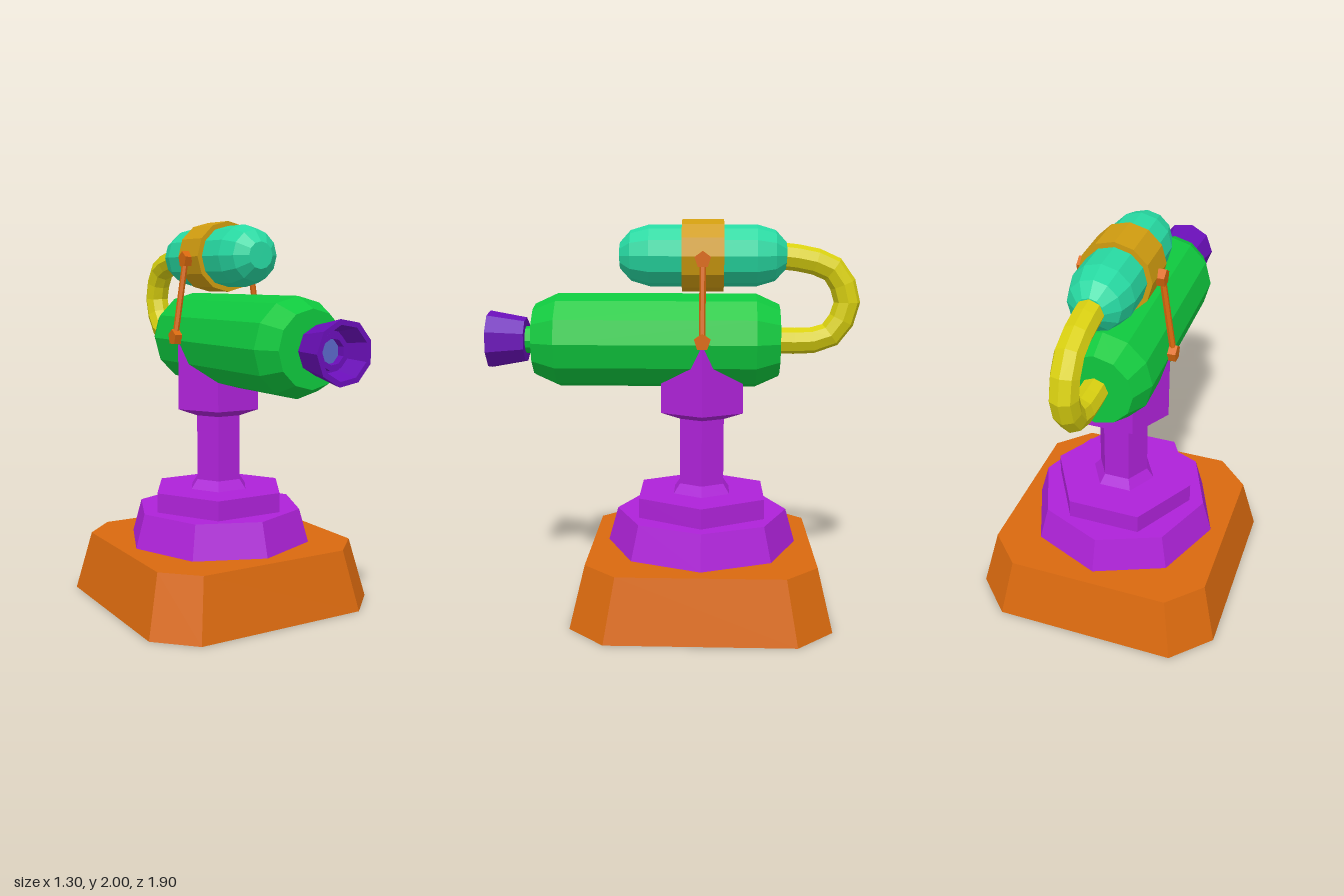
import * as THREE from 'three';

const mat = (name, color) => {
  const m = new THREE.MeshStandardMaterial({ color });
  m.name = name;
  return m;
};

// Faceted normals for the low-poly look
function faceted(geo) {
  const g = geo.index ? geo.toNonIndexed() : geo;
  g.computeVertexNormals();
  return g;
}

// Turned solid around y from [radius, height] pairs
function turned(profile, sides, start = 0) {
  const pts = profile.map(([r, h]) => new THREE.Vector2(r, h));
  return new THREE.LatheGeometry(pts, sides, start);
}

// Same, but lying along z
const turnedZ = (profile, sides, start) => turned(profile, sides, start).rotateX(Math.PI / 2);

export function createModel() {
  const orange = mat('orange', 0xd9690e);
  const purple = mat('purple', 0xae22d8);
  const green = mat('green', 0x0fc83e);
  const teal = mat('teal', 0x27d9a2);
  const gold = mat('gold', 0xd09c10);
  const yellow = mat('yellow', 0xd9d010);
  const violet = mat('violet', 0x6a0fb8);
  const blue = mat('blue', 0x5a68c8);

  const model = new THREE.Group();
  model.name = 'turret';
  const add = (name, geo, material, x = 0, y = 0, z = 0) => {
    const m = new THREE.Mesh(faceted(geo), material);
    m.name = name;
    m.position.set(x, y, z);
    model.add(m);
    return m;
  };

  const ZC = -0.145;    // stand axis
  const BARREL = 1.39;  // barrel axis height
  const TANK = 1.82;    // tank axis height
  const SIDE = Math.PI / 2;

  // Base: square with cut corners, tapering upward
  const a = 0.65, c = 0.465, H = 0.315;
  const outline = [[a, c], [c, a], [-c, a], [-a, c], [-a, -c], [-c, -a], [c, -a], [a, -c]];
  const baseShape = new THREE.Shape(outline.map(([x, y]) => new THREE.Vector2(x, y)));
  const baseGeo = new THREE.ExtrudeGeometry(baseShape, { depth: H, bevelEnabled: false }).rotateX(-Math.PI / 2);
  const p = baseGeo.attributes.position;
  for (let i = 0; i < p.count; i++) {
    const s = 1 - 0.115 * p.getY(i) / H;
    p.setX(i, p.getX(i) * s);
    p.setZ(i, p.getZ(i) * s);
  }
  add('base', baseGeo, orange, 0, 0, ZC);

  // Stand: octagonal plinth, hexagonal step, flared post and cradle
  add('plinth', turned([[0, 0.31], [0.495, 0.315], [0.445, 0.492], [0, 0.492]], 8), purple, 0, 0, ZC);
  add('step', turned([[0.37, 0.48], [0.37, 0.595], [0, 0.595]], 6, SIDE), purple, 0, 0, ZC);
  add('post', turned([[0.17, 0.59], [0.13, 0.645], [0.13, 1.0]], 6, SIDE), purple, 0, 0, ZC);
  add('cradle', turned([[0, 0.99], [0.13, 0.99], [0.24, 1.03], [0.24, 1.37], [0, 1.37]], 6, SIDE), purple, 0, 0, ZC);

  // Barrel with chamfered ends, and its neck
  add('barrel', turnedZ([[0, -0.535], [0.185, -0.535], [0.24, -0.415], [0.24, 0.595], [0.185, 0.715], [0, 0.715]], 12),
    green, 0, BARREL, 0);
  add('neck', turnedZ([[0.07, 0.7], [0.07, 0.775]], 12), green, 0, BARREL, 0);

  // Hollow nozzle with a raised inner ring
  add('nozzle', turnedZ([
    [0, 0.765], [0.115, 0.765], [0.15, 0.955], [0.125, 0.955], [0.1, 0.84],
    [0.085, 0.84], [0.085, 0.87], [0.06, 0.87], [0.06, 0.825],
  ], 9, -SIDE), violet, 0, BARREL, 0);
  add('nozzleCore', turnedZ([[0.062, 0.82], [0.062, 0.83], [0, 0.83]], 9, -SIDE), blue, 0, BARREL, 0);

  // Tank and the band round its middle
  add('tank', turnedZ([
    [0, -0.42], [0.067, -0.42], [0.127, -0.365], [0.155, -0.27],
    [0.155, 0.27], [0.127, 0.365], [0.067, 0.42], [0, 0.42],
  ], 12), teal, 0, TANK, ZC);
  add('band', turnedZ([[0.15, -0.105], [0.18, -0.105], [0.18, 0.105], [0.15, 0.105]], 12), gold, 0, TANK, ZC);

  // Hose from the tank round to the back of the barrel
  const path = new THREE.CatmullRomCurve3([
    [1.82, -0.53], [1.795, -0.7], [1.745, -0.81], [1.655, -0.862], [1.58, -0.877],
    [1.49, -0.848], [1.42, -0.793], [1.393, -0.71], [1.39, -0.52],
  ].map(([y, z]) => new THREE.Vector3(0, y, z)));
  add('hose', new THREE.TubeGeometry(path, 10, 0.067, 8), yellow);

  // Tie rods with five-sided nuts on both sides
  const nut = () => turnedZ([[0, -0.02], [0.042, -0.02], [0.042, 0.02], [0, 0.02]], 5, Math.PI).rotateY(SIDE);
  for (const s of [1, -1]) {
    const side = s > 0 ? 'left' : 'right';
    const top = new THREE.Vector3(s * 0.193, 1.805, ZC);
    const low = new THREE.Vector3(s * 0.256, 1.408, ZC);
    add(side + 'UpperNut', nut(), orange, ...top);
    add(side + 'LowerNut', nut(), orange, ...low);
    const rod = new THREE.TubeGeometry(new THREE.LineCurve3(top, low), 1, 0.016, 6);
    add(side + 'TieRod', rod, orange);
  }

  return model;
}
